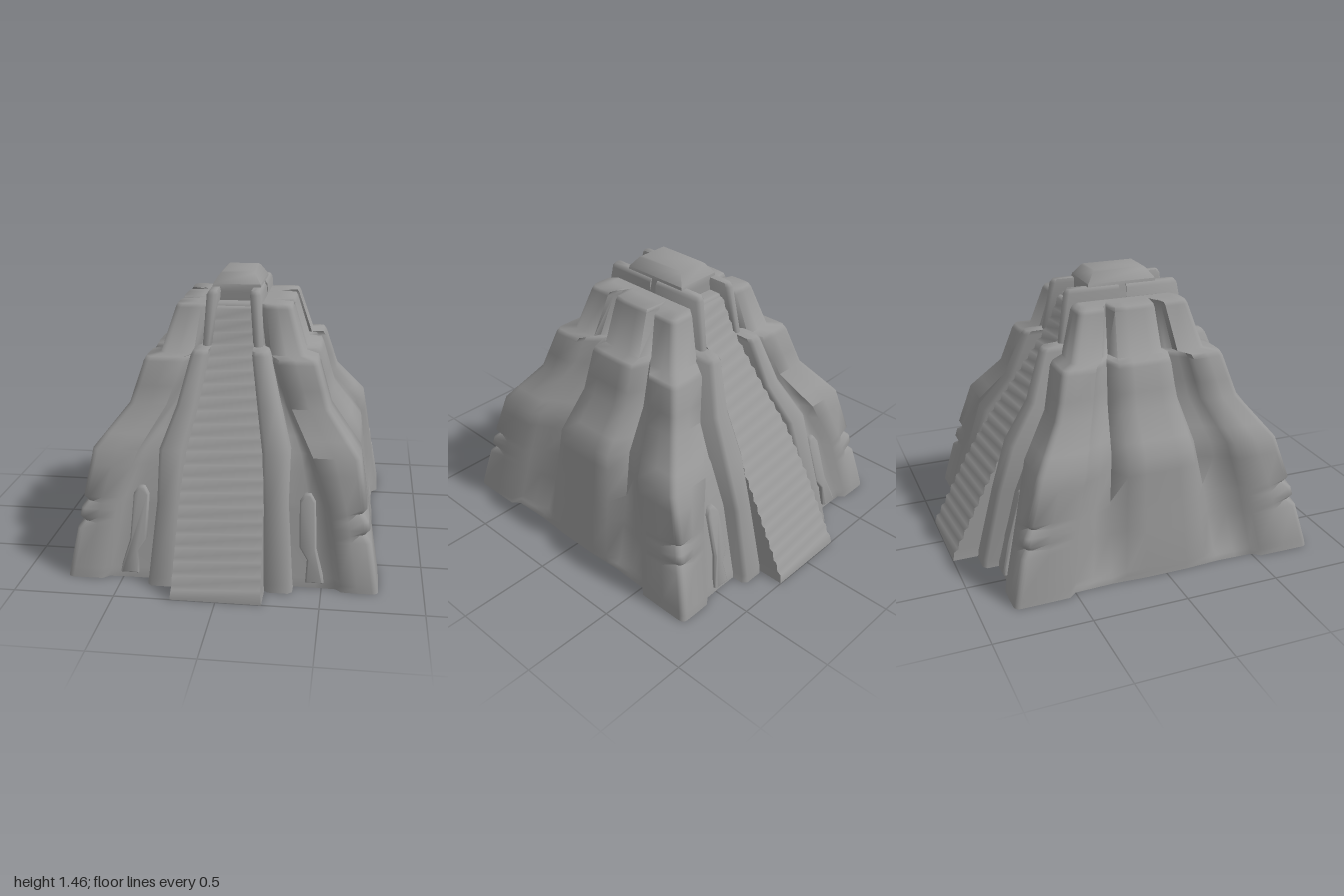
import * as THREE from 'three';
import { toCreasedNormals } from 'three/addons/utils/BufferGeometryUtils.js';

const material = new THREE.MeshStandardMaterial({ color: 0x979797 });

// Linear lookup in rows of [y, ...values]
function at(table, y) {
  let i = 0;
  while (i < table.length - 2 && y > table[i + 1][0]) i++;
  const a = table[i], b = table[i + 1];
  const t = THREE.MathUtils.clamp((y - a[0]) / (b[0] - a[0]), 0, 1);
  return a.slice(1).map((v, k) => v + (b[k + 1] - v) * t);
}

// Closed solid through rings of points, each running front -> right -> back -> left
function loft(rings, crease = 1.25) {
  const pos = [];
  const tri = (...p) => p.forEach((v) => pos.push(...v));
  const n = rings[0].length;
  const centre = (r) => [0, 1, 2].map((k) => r.reduce((s, p) => s + p[k], 0) / n);
  for (let j = 0; j < rings.length - 1; j++) {
    const lo = rings[j], hi = rings[j + 1];
    for (let i = 0; i < n; i++) {
      const k = (i + 1) % n;
      tri(lo[i], lo[k], hi[k]);
      tri(lo[i], hi[k], hi[i]);
    }
  }
  const bottom = rings[0], top = rings[rings.length - 1];
  const c0 = centre(bottom), c1 = centre(top);
  for (let i = 0; i < n; i++) {
    const k = (i + 1) % n;
    tri(c1, top[i], top[k]);
    tri(c0, bottom[k], bottom[i]);
  }
  const g = new THREE.BufferGeometry();
  g.setAttribute('position', new THREE.Float32BufferAttribute(pos, 3));
  return toCreasedNormals(g, crease);
}

// Mirror a quarter outline into the full plan
function fullRing(q) {
  const r = [...q].reverse();
  return [
    ...q,
    ...r.map(([x, y, z]) => [x, y, -z]),
    ...q.map(([x, y, z]) => [-x, y, -z]),
    ...r.map(([x, y, z]) => [-x, y, z]),
  ];
}

const rect = (x, z, y) => [[-x, y, z], [x, y, z], [x, y, -z], [-x, y, -z]];

// Quarter plan: front groove, corner pier, side groove, middle pier
function bodyRing(y, notch = 0) {
  const [X, Z, g, f, s, c, dx, dz, mid] = at(BODY, y);
  const q = [[g * 0.6, y, Z - dz], [g, y, Z - dz], [(g + f) / 2, y, Z - dz]];
  q.push([f - 0.01, y, Z - dz * 0.9], [f + 0.02, y, Z - 0.002], [f + (X - f) * 0.5, y, Z]);
  const r = 0.03;
  for (let i = 0; i <= 4; i++) {
    const a = (i / 4) * Math.PI / 2;
    q.push([X - r + Math.sin(a) * r - notch, y, Z - r + Math.cos(a) * r - notch]);
  }
  const step = Math.min(0.04, dx * 0.85);
  q.push([X, y, s + (Z - s) * 0.5], [X - 0.002, y, s], [X - step, y, s - (s - c) * 0.16]);
  q.push([X - (dx + step) / 2, y, c + (s - c) * 0.45], [X - dx, y, c + 0.01]);
  q.push([X - mid, y, c - (c - 0.1) * 0.35], [X - mid + 0.006, y, c * 0.4]);
  return fullRing(q);
}

// y, corner x, corner z, front groove x, pier inner x, pier inner z,
// middle pier half width, side groove depth, front groove depth, middle pier setback
const BODY = [
  [0, 0.78, 0.825, 0.36, 0.58, 0.54, 0.29, 0.042, 0.035, 0.038],
  [0.03, 0.775, 0.82, 0.36, 0.575, 0.535, 0.288, 0.044, 0.035, 0.036],
  [0.05, 0.772, 0.815, 0.36, 0.57, 0.53, 0.285, 0.07, 0.037, 0.034],
  [0.4, 0.713, 0.728, 0.345, 0.51, 0.47, 0.25, 0.1, 0.05, 0.025],
  [0.63, 0.675, 0.655, 0.33, 0.42, 0.41, 0.22, 0.12, 0.07, 0.015],
  [0.83, 0.515, 0.505, 0.26, 0.3, 0.32, 0.185, 0.1, 0.07, 0.008],
  [1.04, 0.45, 0.445, 0.2, 0.225, 0.27, 0.165, 0.1, 0.06, 0.005],
  [1.063, 0.437, 0.432, 0.2, 0.225, 0.26, 0.16, 0.1, 0.06, 0.005],
  [1.07, 0.375, 0.367, 0.16, 0.18, 0.21, 0.135, 0.09, 0.05, 0.005],
  [1.295, 0.305, 0.305, 0.13, 0.15, 0.17, 0.115, 0.1, 0.04, 0.005],
  [1.314, 0.295, 0.295, 0.13, 0.15, 0.165, 0.11, 0.1, 0.04, 0.005],
  [1.316, 0.2, 0.25, 0.1, 0.12, 0.14, 0.1, 0.04, 0.02, 0.005],
];
// y, inner x, outer x, front z
const RAIL = [
  [0, 0.22, 0.36, 0.87], [0.04, 0.215, 0.355, 0.865], [0.4, 0.205, 0.325, 0.77],
  [0.65, 0.19, 0.325, 0.69], [0.84, 0.15, 0.26, 0.553], [1.085, 0.112, 0.2, 0.465],
  [1.105, 0.112, 0.19, 0.45], [1.109, 0.107, 0.155, 0.36], [1.365, 0.083, 0.14, 0.315],
  [1.385, 0.088, 0.128, 0.3],
];
// y, front z of the stair
const STAIR = [[0, 1], [0.38, 0.8], [0.6, 0.67], [0.84, 0.515], [1.1, 0.35], [1.3, 0.27]];

export function createModel() {
  const group = new THREE.Group();
  const add = (name, geometry) => {
    const m = new THREE.Mesh(geometry, material);
    m.name = name;
    group.add(m);
    return m;
  };

  // Two-tier body with two notches cut across each corner
  const notches = { 0.27: 0.025, 0.37: 0.025 };
  const levels = [...BODY.map((r) => r[0]), 0.24, 0.27, 0.3, 0.34, 0.37, 0.55, 0.7, 0.92];
  levels.sort((a, b) => a - b);
  add('body', loft(levels.map((y) => bodyRing(y, notches[y]))));

  // Worn stairs, front and back: leaning risers and sloping treads
  const steps = 22, h = 1.3 / steps;
  const stairRings = [];
  for (let i = 0; i < steps; i++) {
    for (const [up, out] of [[0, 0], [0.8, 0.3]]) {
      const [z] = at(STAIR, (i + out) * h);
      const [inner] = at(RAIL, (i + up) * h);
      stairRings.push(rect(inner + 0.003, z, (i + up) * h));
    }
  }
  stairRings.push(rect(0.095, 0.27, 1.3));
  add('stairs', loft(stairRings));

  // Rounded side rails of both stairs
  for (const sx of [1, -1]) for (const sz of [1, -1]) {
    const rings = RAIL.map(([y, a, b, z]) => {
      const e = Math.min(0.02, (b - a) * 0.3);
      const p = [[a, z - e], [a + e, z], [b - e, z], [b, z - e], [b, 0.02], [a, 0.02]];
      const ring = p.map(([x, pz]) => [sx * x, y, sz * pz]);
      return sx * sz > 0 ? ring : ring.reverse();
    });
    add('stairRail', loft(rings));
  }

  // Carved relief beside each stair, leaning with the wall
  const outline = [
    [0.43, 0.04], [0.5, 0.04], [0.495, 0.07], [0.46, 0.19], [0.45, 0.41],
    [0.43, 0.44], [0.41, 0.44], [0.39, 0.41], [0.395, 0.2], [0.435, 0.14],
  ];
  for (const sx of [1, -1]) for (const sz of [1, -1]) {
    const shape = new THREE.Shape(outline.map(([x, y]) => new THREE.Vector2(sx * sz * x, y)));
    const g = new THREE.ExtrudeGeometry(shape, {
      depth: 0.03, bevelEnabled: true, bevelSize: 0.01, bevelThickness: 0.016, bevelSegments: 3,
    });
    const p = g.attributes.position;
    for (let i = 0; i < p.count; i++) {
      const [, Z, , , , , , dz] = at(BODY, p.getY(i));
      p.setZ(i, p.getZ(i) + Z - dz - 0.022);
    }
    add('carvedRelief', toCreasedNormals(g, 1.25)).rotation.y = sz > 0 ? 0 : Math.PI;
  }

  // Bevelled block on the summit
  const cap = [
    [1.25, 0.15, 0.19], [1.31, 0.145, 0.19], [1.36, 0.13, 0.19], [1.4, 0.125, 0.188],
    [1.452, 0.09, 0.148], [1.46, 0.08, 0.137],
  ];
  add('summitBlock', loft(cap.map(([y, x, z]) => rect(x, z, y))));

  return group;
}
